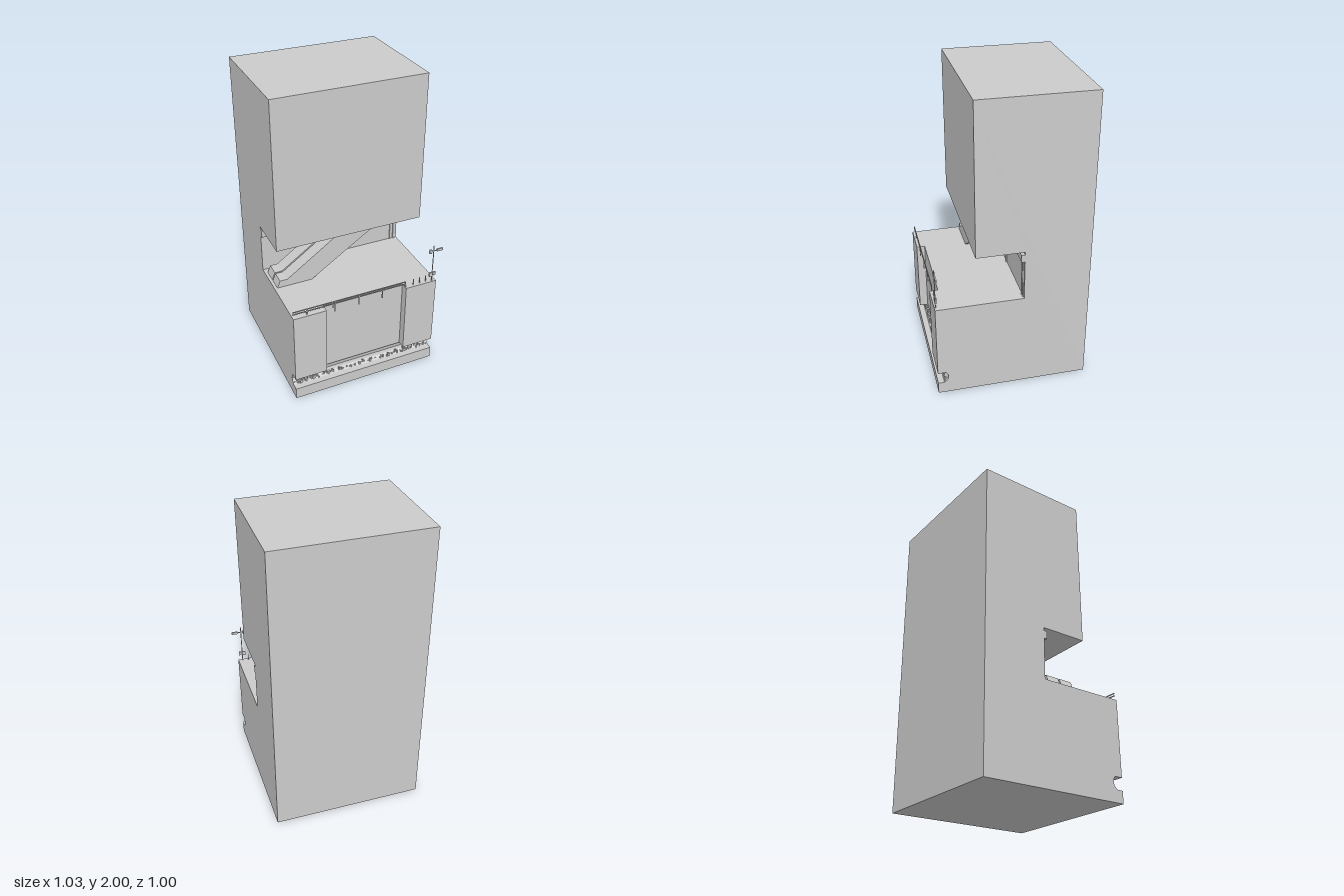
import * as THREE from 'three';

export function createModel() {
  const model = new THREE.Group();
  const grey = new THREE.MeshStandardMaterial({ color: 0xcccccc, flatShading: true });

  function add(name, geometry, x = 0, y = 0, z = 0, parent = model) {
    const mesh = new THREE.Mesh(geometry, grey);
    mesh.name = name;
    mesh.position.set(x, y, z);
    parent.add(mesh);
    return mesh;
  }
  // Box given by its limits on each axis
  function block(name, x0, x1, y0, y1, z0, z1, parent = model) {
    return add(name, new THREE.BoxGeometry(x1 - x0, y1 - y0, z1 - z0),
      (x0 + x1) / 2, (y0 + y1) / 2, (z0 + z1) / 2, parent);
  }
  function group(name) {
    const g = new THREE.Group();
    g.name = name;
    model.add(g);
    return g;
  }
  function extrude(points, depth) {
    const shape = new THREE.Shape(points.map(([a, b]) => new THREE.Vector2(a, b)));
    return new THREE.ExtrudeGeometry(shape, { depth, bevelEnabled: false });
  }

  // Main block: side profile (z, y) with the terrace cut-out and the lower groove
  const profile = [
    [-0.5, 0], [0.5, 0], [0.5, 0.08], [0.46, 0.08], [0.437, 0.1], [0.43, 0.12],
    [0.435, 0.145], [0.445, 0.16], [0.445, 0.66], [-0.07, 0.66], [-0.07, 1],
    [0.24, 1], [0.24, 2], [-0.5, 2],
  ];
  add('building', extrude(profile, 1).rotateY(-Math.PI / 2), 0.48);

  // Projecting walls on both sides of the recessed front
  block('rightFrontWall', -0.52, -0.3, 0.16, 0.66, 0.445, 0.5);
  block('leftFrontWall', 0.26, 0.48, 0.16, 0.66, 0.445, 0.5);

  // Terrace back wall: beam, posts and door header
  const wall = group('terraceBackWall');
  block('beam', -0.52, 0.48, 0.93, 0.98, -0.07, -0.047, wall);
  for (const x of [0.035, 0.43, 0.455]) block('wallPost', x - 0.004, x + 0.004, 0.66, 0.93, -0.07, -0.062, wall);
  block('doorHeader', 0.035, 0.43, 0.905, 0.913, -0.07, -0.062, wall);

  // Twin ramps rising to the upper floor
  const ramp = [
    [-0.5, 0.66], [-0.26, 0.66], [0.21, 0.975], [0.21, 1], [-0.02, 1], [-0.43, 0.71], [-0.48, 0.71],
  ];
  for (const z of [-0.03, 0.07]) add('ramp', extrude(ramp, 0.09), 0, 0, z);

  // Small cone standing on the terrace
  const cone = group('cone');
  block('coneBase', -0.163, -0.137, 0.66, 0.665, 0.057, 0.083, cone);
  add('coneBody', new THREE.ConeGeometry(0.01, 0.045, 8), -0.15, 0.687, 0.07, cone);

  // Railing along the front edge
  const railing = group('railing');
  for (const y of [0.686, 0.702]) {
    block('rail', -0.52, -0.255, y - 0.003, y + 0.003, 0.482, 0.487, railing);
    block('rail', -0.245, 0.262, y - 0.003, y + 0.003, 0.482, 0.487, railing);
  }
  for (const [x, y] of [[-0.425, 0.655], [-0.25, 0.655], [-0.236, 0.625], [-0.07, 0.625], [0.095, 0.625], [0.26, 0.655]]) {
    block('railPost', x - 0.003, x + 0.003, y, 0.704, 0.481, 0.487, railing);
  }
  for (const x of [0.32, 0.366, 0.41]) {
    add('bollard', new THREE.CylinderGeometry(0.003, 0.003, 0.045, 6), x, 0.682, 0.481, railing);
  }

  // Signpost at the front corner
  const sign = group('signpost');
  add('pole', new THREE.CylinderGeometry(0.003, 0.003, 0.275, 6), 0.45, 0.7975, 0.492, sign);
  block('signArm', 0.425, 0.475, 0.894, 0.899, 0.49, 0.494, sign);
  block('signBoard', 0.473, 0.515, 0.888, 0.905, 0.486, 0.496, sign);
  block('signLamp', 0.42, 0.436, 0.882, 0.91, 0.486, 0.497, sign);
  block('signBox', 0.428, 0.448, 0.7, 0.73, 0.488, 0.497, sign);
  block('signBox', 0.456, 0.474, 0.705, 0.73, 0.488, 0.497, sign);

  // Ragged fragments lining the floor and the ceiling of the groove
  const fragments = group('grooveFragments');
  let seed = 7;
  const rand = () => (seed = (seed * 16807) % 2147483647) / 2147483647;
  for (let i = 0; i < 100; i++) {
    const x = -0.515 + i * 0.0099, outer = x < -0.3 || x > 0.27;
    const z = 0.438 + rand() * 0.014, w = 0.004 + rand() * 0.007;
    if (rand() < 0.75) {
      const top = 0.09 + rand() * (outer ? 0.028 : 0.018);
      block('floorFragment', x, x + w, 0.08, top, z, z + 0.01, fragments);
    }
    if (outer && rand() < 0.45) {
      block('ceilingFragment', x, x + w, 0.16 - 0.01 - rand() * 0.02, 0.162, z, z + 0.01, fragments);
    }
  }
  return model;
}
